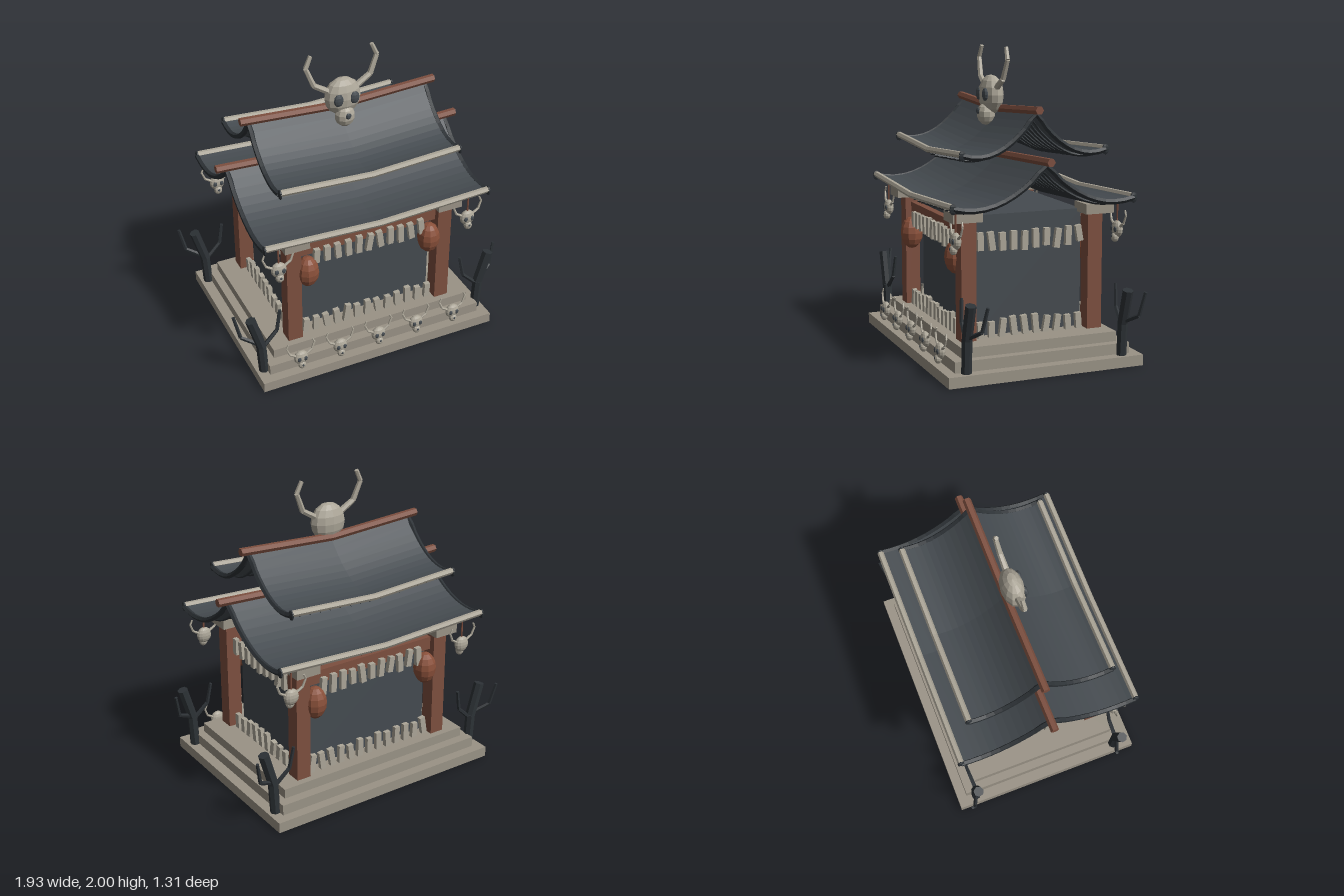
import * as THREE from 'three';

const mat = (name, color) => {
  const m = new THREE.MeshStandardMaterial({ color, flatShading: true });
  m.name = name;
  return m;
};

export function createModel() {
  const stone = mat('stone', 0x9a9386), bone = mat('bone', 0xaca698);
  const wood = mat('wood', 0x7d4f3f), paper = mat('lantern clay', 0x8a503a);
  const slate = mat('slate', 0x454b50), dark = mat('charred', 0x2d3236);
  const root = new THREE.Group();
  root.name = 'shrine';

  let seed = 7;
  const rand = () => (seed = (seed * 16807) % 2147483647) / 2147483647;
  const V = (x, y, z) => new THREE.Vector3(x, y, z);
  const add = (parent, name, geo, material, x = 0, y = 0, z = 0) => {
    const m = new THREE.Mesh(geo, material);
    m.name = name;
    m.position.set(x, y, z);
    parent.add(m);
    return m;
  };
  const box = (parent, name, material, w, h, d, x, y, z) =>
    add(parent, name, new THREE.BoxGeometry(w, h, d), material, x, y, z);
  const blob = (parent, name, material, rx, ry, rz, x, y, z, segs = 12, rows = 8) =>
    add(parent, name, new THREE.SphereGeometry(1, segs, rows).scale(rx, ry, rz), material, x, y, z);
  // Tapered stick between two points
  const stick = (parent, name, material, a, b, r1, r2 = r1, sides = 6) => {
    const dir = b.clone().sub(a), mid = a.clone().add(b).multiplyScalar(0.5);
    const m = add(parent, name, new THREE.CylinderGeometry(r2, r1, dir.length(), sides), material, mid.x, mid.y, mid.z);
    m.quaternion.setFromUnitVectors(V(0, 1, 0), dir.normalize());
    return m;
  };
  const sticks = (parent, name, material, pts, radii, sides) => {
    for (let i = 0; i < pts.length - 1; i++)
      stick(parent, name, material, pts[i], pts[i + 1], radii[i], radii[i + 1], sides);
  };

  // Stepped base
  box(root, 'baseStep', stone, 1.68, 0.07, 1.31, 0, 0.035, 0);
  box(root, 'middleStep', stone, 1.54, 0.07, 1.18, 0, 0.105, 0);
  box(root, 'topStep', stone, 1.43, 0.065, 1.05, 0, 0.172, 0);

  // Inner hall
  box(root, 'hall', slate, 0.98, 0.77, 0.73, 0, 0.59, -0.01);

  // Pillars, capitals and lanterns
  for (const sx of [-1, 1]) for (const sz of [-1, 1]) {
    box(root, 'pillar', wood, 0.1, 0.77, 0.1, sx * 0.54, 0.585, sz * 0.43);
    box(root, 'capital', stone, 0.17, 0.065, 0.195, sx * 0.54, 0.988, sz * 0.447);
    blob(root, 'lantern', paper, 0.076, 0.11, 0.076, sx * 0.437, 0.715, sz * 0.455, 10, 8);
  }

  // Cross beams
  for (const sz of [-1, 1]) box(root, 'beam', wood, 1.0, 0.088, 0.05, 0, 0.874, sz * 0.415);

  // Rows of crooked teeth, hanging above and standing below on each side
  const teeth = (name, count, y, angle, dist) => {
    const g = new THREE.Group();
    g.name = name;
    g.rotation.y = angle;
    for (let i = 0; i < count; i++) {
      const h = 0.1 + rand() * 0.03;
      const yy = y > 0.5 ? y - h / 2 - rand() * 0.015 : y + h / 2;
      const t = box(g, 'tooth', bone, 0.04, h, 0.03, (i - (count - 1) / 2) * 0.075, yy, dist);
      t.rotation.z = (rand() - 0.5) * 0.35;
    }
    root.add(g);
  };
  for (const k of [0, 1]) {
    teeth('upperTeeth', 11, 0.88, k * Math.PI, 0.455);
    teeth('lowerTeeth', 13, 0.2, k * Math.PI, 0.435);
    teeth('sideUpperTeeth', 10, 0.88, Math.PI * (k + 0.5), 0.54);
    teeth('sideLowerTeeth', 10, 0.2, Math.PI * (k + 0.5), 0.54);
  }

  // Curved roof: dished slopes, rising toward both ends
  const roof = (name, { halfX, halfZ, ridgeX, low, lowZ, curve }) => {
    const g = new THREE.Group();
    g.name = name;
    root.add(g);
    const lift = (x) => 0.035 * Math.abs(x) / halfX;
    const profile = (z) => low + curve * (Math.abs(z) - lowZ) ** 2;
    const bend = (geo, fn) => {
      const p = geo.attributes.position;
      for (let i = 0; i < p.count; i++) p.setY(i, p.getY(i) + fn(p.getX(i), p.getZ(i)));
      geo.computeVertexNormals();
      return geo;
    };
    add(g, 'roofSlopes', bend(new THREE.BoxGeometry(halfX * 2, 0.022, halfZ * 2, 2, 1, 24),
      (x, z) => lift(x) + profile(z)), slate);
    // Ridge pole and eave trims share the same bent rod
    const rod = (len, r) => bend(new THREE.CylinderGeometry(r, r, len, 6, 2).rotateZ(Math.PI / 2), lift);
    add(g, 'ridgePole', rod(ridgeX * 2, 0.027), wood, 0, profile(0) + 0.026, 0);
    for (const s of [-1, 1])
      add(g, 'eaveTrim', rod(halfX * 2, 0.021), bone, 0, profile(halfZ) + 0.008, s * halfZ);
    // Ribs following the slope: edge rims and rafters beneath
    const rib = (ribName, x, r, drop, reach) => {
      const pts = [];
      for (let i = 0; i <= 14; i++) {
        const z = reach * (i / 7 - 1);
        pts.push(V(x, profile(z) + lift(x) - drop, z));
      }
      add(g, ribName, new THREE.TubeGeometry(new THREE.CatmullRomCurve3(pts), 20, r, 5), dark);
    };
    for (const s of [-1, 1]) {
      rib('edgeRim', s * halfX, 0.018, 0, halfZ);
      for (const e of [-1, 1])
        blob(g, 'rimEnd', dark, 0.012, 0.034, 0.025, s * halfX, profile(halfZ) + 0.035, e * halfZ, 6, 6);
    }
    const n = Math.floor((halfX - 0.06) / 0.075);
    for (let i = -n; i <= n; i++) rib('rafter', i * 0.075, 0.01, 0.022, halfZ - 0.04);
  };
  roof('lowerRoof', { halfX: 0.78, halfZ: 0.6, ridgeX: 0.855, low: 1.02, lowZ: 0.47, curve: 1.11 });
  roof('upperRoof', { halfX: 0.62, halfZ: 0.48, ridgeX: 0.68, low: 1.312, lowZ: 0.38, curve: 1.74 });

  // Horned skull, facing front
  const skull = (name, x, y, z, scale) => {
    const g = new THREE.Group();
    g.name = name;
    g.position.set(x, y, z);
    g.scale.setScalar(scale);
    root.add(g);
    blob(g, 'cranium', bone, 0.125, 0.13, 0.075, 0, 0, 0);
    blob(g, 'muzzle', bone, 0.068, 0.075, 0.06, 0, -0.125, 0.035, 10, 7);
    blob(g, 'nose', slate, 0.02, 0.022, 0.01, 0, -0.105, 0.092, 6, 5);
    for (const s of [-1, 1]) {
      blob(g, 'eyeSocket', slate, 0.034, 0.043, 0.018, s * 0.055, 0.005, 0.064, 10, 6);
      sticks(g, 'antler', bone, [V(s * 0.09, 0.045, 0), V(s * 0.195, 0.11, -0.005),
        V(s * 0.245, 0.235, -0.015), V(s * 0.21, 0.312, -0.02)], [0.022, 0.019, 0.016, 0.014], 6);
    }
  };
  skull('roofSkull', 0, 1.68, 0.045, 1);
  for (let i = -2; i <= 2; i++) skull('stepSkull', i * 0.28, 0.16, 0.61, 0.4);
  for (const sx of [-1, 1]) for (const sz of [-1, 1]) {
    skull('hangingSkull', sx * 0.67, 0.86, sz * 0.545, 0.42);
    stick(root, 'rope', wood, V(sx * 0.67, 0.9, sz * 0.545), V(sx * 0.67, 1.06, sz * 0.545), 0.006);
  }

  // Dead trees at the corners
  for (const sx of [-1, 1]) for (const sz of [-1, 1]) {
    const g = new THREE.Group();
    g.name = 'deadTree';
    g.position.set(0, 0, sz * 0.525);
    root.add(g);
    sticks(g, 'trunk', dark, [V(sx * 0.788, 0.07, 0), V(sx * 0.8, 0.28, 0), V(sx * 0.865, 0.505, 0)],
      [0.033, 0.034, 0.035], 7);
    sticks(g, 'outerBranch', dark, [V(sx * 0.81, 0.29, 0), V(sx * 0.92, 0.35, -0.05), V(sx * 0.953, 0.505, -0.075)],
      [0.015, 0.013, 0.011], 5);
    sticks(g, 'innerBranch', dark, [V(sx * 0.79, 0.26, 0), V(sx * 0.685, 0.36, -0.01), V(sx * 0.658, 0.505, -0.02)],
      [0.015, 0.013, 0.011], 5);
  }
  return root;
}
